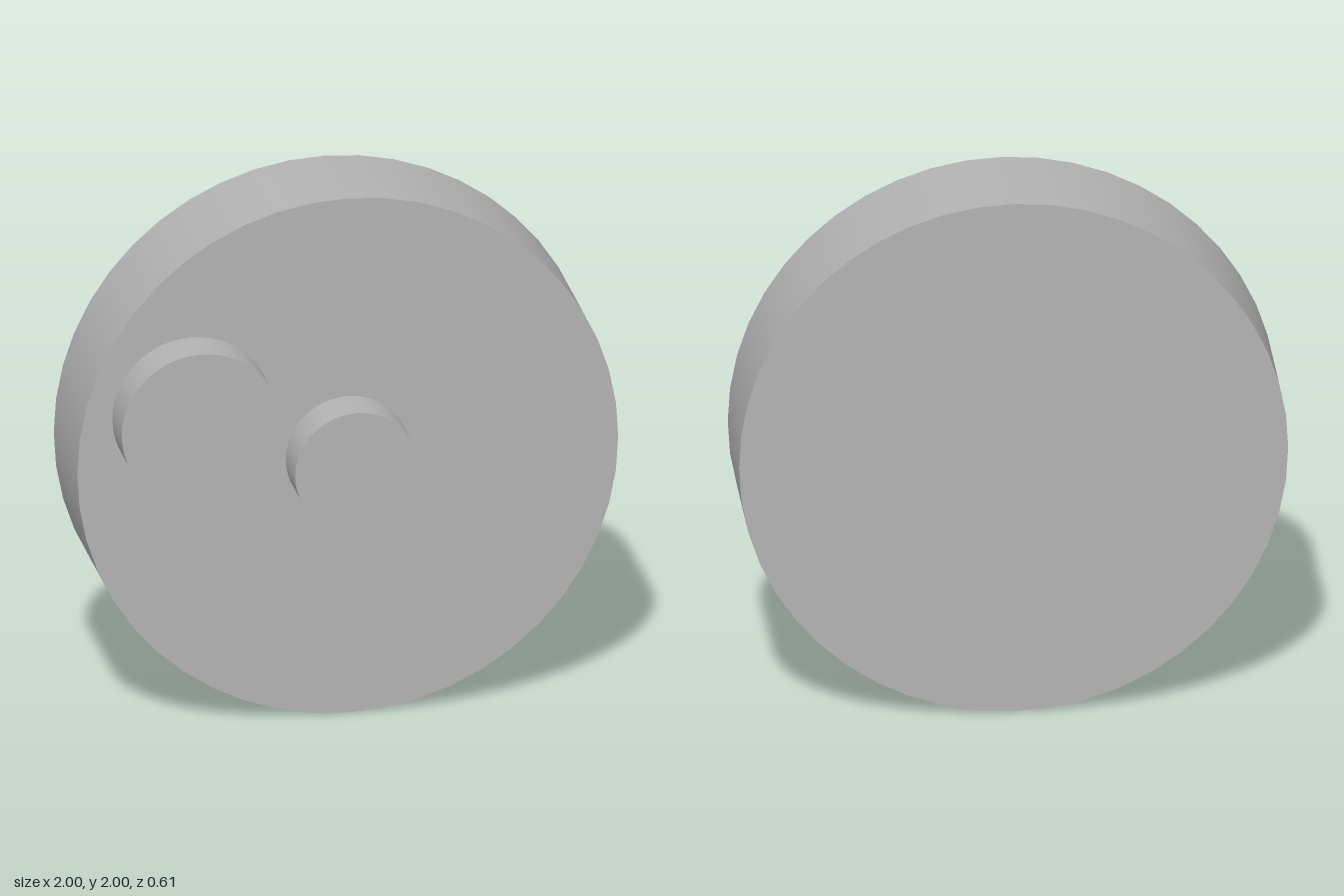
import * as THREE from 'three';

// Round disc lying against z, from zBack to zFront
function disc(name, x, y, radius, zBack, zFront, segments, material) {
  const geometry = new THREE.CylinderGeometry(radius, radius, zFront - zBack, segments);
  geometry.rotateX(Math.PI / 2);
  const mesh = new THREE.Mesh(geometry, material);
  mesh.name = name;
  mesh.position.set(x, y, (zBack + zFront) / 2);
  return mesh;
}

export function createModel() {
  const group = new THREE.Group();
  group.name = 'crankDisc';
  const grey = new THREE.MeshStandardMaterial({ color: 0xb3b3b3 });
  grey.name = 'plain grey';

  group.add(
    // Main wheel
    disc('wheel', 0, 1, 1, -0.306, 0.131, 48, grey),
    // Hub at the centre of the front face
    disc('hub', 0, 1.002, 0.229, 0.131, 0.306, 48, grey),
    // Off-centre crank pin
    disc('crankPin', -0.575, 1.208, 0.295, 0.131, 0.306, 48, grey),
  );
  return group;
}
